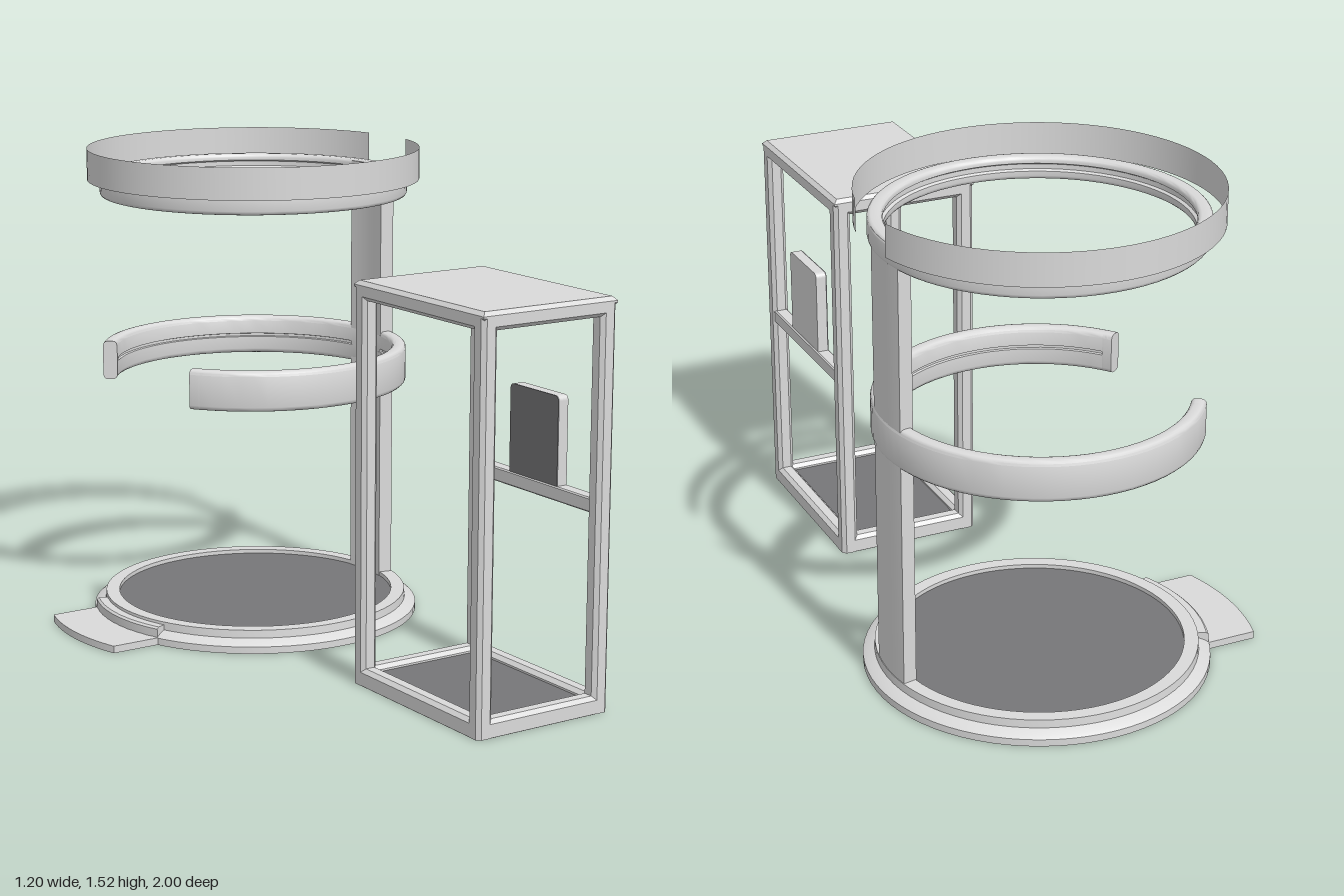
import * as THREE from 'three';
import { toCreasedNormals } from 'three/addons/utils/BufferGeometryUtils.js';

const RIGHT = Math.PI / 2, LEFT = -Math.PI / 2, DEG = Math.PI / 180;

export function createModel() {
  const model = new THREE.Group();
  const light = new THREE.MeshStandardMaterial({ color: 0xdadada });
  light.name = 'lightGrey';
  const dark = new THREE.MeshStandardMaterial({ color: 0x767678 });
  dark.name = 'darkGrey';
  const lightSheet = new THREE.MeshStandardMaterial({ color: 0xdadada, side: THREE.DoubleSide });
  lightSheet.name = 'lightGreySheet';

  const add = (parent, name, geometry, material, x = 0, y = 0, z = 0) => {
    const mesh = new THREE.Mesh(geometry, material);
    mesh.name = name;
    mesh.position.set(x, y, z);
    parent.add(mesh);
    return mesh;
  };

  // Sweeps a counterclockwise (radius, height) profile around the y axis, with end caps on open arcs
  const sweep = (parent, name, profile, centre = 0, half = Math.PI) => {
    const part = new THREE.Group();
    part.name = name;
    parent.add(part);
    const pts = profile.map(([r, y]) => new THREE.Vector2(r, y));
    const steps = Math.max(6, Math.round(half / Math.PI * 72));
    const lathe = new THREE.LatheGeometry([...pts, pts[0].clone()], steps, centre - half, half * 2);
    add(part, name + 'Surface', toCreasedNormals(lathe, 0.6), light);
    if (half < Math.PI) {
      for (const s of [-1, 1]) {
        const cap = new THREE.ShapeGeometry(new THREE.Shape(pts));
        if (s > 0) cap.index.array.reverse();
        cap.computeVertexNormals();
        add(part, name + 'End', cap, light).rotation.y = centre + s * half - Math.PI / 2;
      }
    }
    return part;
  };

  // Rectangle profile with four rounded corners; extra points run down the inner face
  const rim = (r0, r1, y0, y1, c, inner = []) => {
    const corner = (r, y, start) => [0, 1, 2, 3].map((i) => {
      const a = (start + i * 30) * DEG;
      return [r + c * Math.cos(a), y + c * Math.sin(a)];
    });
    return [...corner(r1 - c, y0 + c, -90), ...corner(r1 - c, y1 - c, 0),
      ...corner(r0 + c, y1 - c, 90), ...inner, ...corner(r0 + c, y0 + c, 180)];
  };

  // ---- Round stand ----
  const stand = new THREE.Group();
  stand.name = 'roundStand';
  stand.position.set(0.075, 0, -0.471);
  model.add(stand);

  // Stepped base ring, hollow underneath, holding a thin pad
  sweep(stand, 'baseRing', [[0.492, 0], [0.527, 0], [0.527, 0.022], [0.515, 0.03], [0.492, 0.04],
    [0.49, 0.065], [0.447, 0.065], [0.447, 0.035], [0.485, 0.03]]);
  add(stand, 'basePad', new THREE.CylinderGeometry(0.449, 0.449, 0.012, 72), dark, 0, 0.046, 0);

  // Foot pedal with a curved outer edge, and its bracket on the base
  const pedal = new THREE.Shape();
  const pedalAngle = Math.asin(0.2 / 0.675);
  pedal.moveTo(-0.46, -0.2);
  pedal.lineTo(-0.46, 0.2);
  pedal.absarc(0, 0, 0.675, Math.PI - pedalAngle, Math.PI + pedalAngle, false);
  pedal.closePath();
  const pedalGeo = new THREE.ExtrudeGeometry(pedal, { depth: 0.023, bevelEnabled: false, curveSegments: 10 });
  pedalGeo.rotateX(-Math.PI / 2);
  add(stand, 'footPedal', pedalGeo, light);
  sweep(stand, 'pedalBracket', [[0.47, 0.022], [0.525, 0.022], [0.525, 0.05], [0.518, 0.056], [0.47, 0.056]],
    LEFT, 22 * DEG);

  // Upright following the curve of the rings
  sweep(stand, 'upright', [[0.444, 0.04], [0.488, 0.04], [0.488, 1.435], [0.444, 1.435]], RIGHT, 11.2 * DEG);

  // Open middle hoop: a grooved run between two plain ends
  const hoop = new THREE.Group();
  hoop.name = 'middleHoop';
  stand.add(hoop);
  const groove = [[0.444, 0.829], [0.451, 0.827], [0.451, 0.819], [0.444, 0.817]];
  sweep(hoop, 'groovedHoop', rim(0.444, 0.49, 0.761, 0.887, 0.015, groove), RIGHT, 142 * DEG);
  for (const s of [-1, 1]) {
    sweep(hoop, 'hoopTip', rim(0.444, 0.49, 0.761, 0.887, 0.015), RIGHT + s * 144 * DEG, 2 * DEG);
  }

  // Top ring with a channel inside, and the thin band around it
  sweep(stand, 'topRing', rim(0.445, 0.49, 1.369, 1.44, 0.012,
    [[0.445, 1.42], [0.454, 1.415], [0.454, 1.4], [0.445, 1.395]]));
  const gap = 11.5 * DEG;
  add(stand, 'topBand', new THREE.CylinderGeometry(0.529, 0.529, 0.1, 72, 1, true,
    RIGHT + gap, Math.PI * 2 - 2 * gap), lightSheet, 0, 1.47, 0);

  // ---- Rectangular cabinet frame ----
  const cabinet = new THREE.Group();
  cabinet.name = 'cabinetFrame';
  cabinet.position.set(0.1305, 0, 0.6845);
  model.add(cabinet);
  const W = 0.471, D = 0.631, H = 1.228, T = 0.054, C = 0.012;

  // Square bar lying along the given axis, its upper and lower long edges chamfered by c and b
  const bar = (name, axis, length, x, y, z, size = T, c = C, b = c) => {
    const h = size / 2, k = h - c, m = h - b;
    const section = new THREE.Shape([[m, -h], [h, -m], [h, k], [k, h], [-k, h], [-h, k], [-h, -m], [-m, -h]]
      .map(([p, q]) => new THREE.Vector2(p, q)));
    const geo = new THREE.ExtrudeGeometry(section, { depth: length, bevelEnabled: false });
    geo.translate(0, 0, -length / 2);
    if (axis === 'x') geo.rotateY(Math.PI / 2);
    if (axis === 'y') geo.rotateX(Math.PI / 2);
    add(cabinet, name, geo, light, x, y, z);
  };

  const px = (W - T) / 2, pz = (D - T) / 2, postTop = H - 0.014;
  for (const sx of [-1, 1]) {
    for (const sz of [-1, 1]) bar('cornerPost', 'y', postTop, sx * px, postTop / 2, sz * pz);
    bar('lowerSideRail', 'z', D - T, sx * px, T / 2, 0, T, C, 0.001);
    bar('upperSideRail', 'z', D - T, sx * px, H - 0.029, 0);
  }
  for (const sz of [-1, 1]) {
    bar('lowerCrossRail', 'x', W - T, 0, T / 2, sz * pz, T, C, 0.001);
    bar('upperCrossRail', 'x', W - T, 0, H - 0.029, sz * pz);
  }

  // Lid with chamfered edges
  const lw = W / 2 - C, ld = D / 2 - C;
  const lid = new THREE.Shape([[-lw, -ld], [lw, -ld], [lw, ld], [-lw, ld]]
    .map(([a, b]) => new THREE.Vector2(a, b)));
  const lidGeo = new THREE.ExtrudeGeometry(lid,
    { depth: 0.006, bevelSize: C, bevelThickness: C, bevelSegments: 1 });
  lidGeo.rotateX(-Math.PI / 2);
  add(cabinet, 'lid', lidGeo, light, 0, H - C - 0.006, 0);
  add(cabinet, 'ceilingPanel', new THREE.BoxGeometry(W - T, 0.01, D - T), dark, 0, H - 0.034, 0);
  add(cabinet, 'floorPanel', new THREE.BoxGeometry(W - T, 0.012, D - T), dark, 0, 0.03, 0);

  // Middle rail on one side with an upright control panel and its dark inner face
  bar('middleRail', 'z', D - T, px, 0.617, 0, 0.044, 0.004);
  const panel = new THREE.Shape();
  const r = 0.015, hw = 0.114;
  panel.moveTo(-hw, 0.63);
  panel.lineTo(hw, 0.63);
  panel.lineTo(hw, 0.908 - r);
  panel.absarc(hw - r, 0.908 - r, r, 0, Math.PI / 2, false);
  panel.absarc(-hw + r, 0.908 - r, r, Math.PI / 2, Math.PI, false);
  panel.closePath();
  const plate = (name, depth, material, x) => {
    const geo = new THREE.ExtrudeGeometry(panel, { depth, bevelEnabled: false, curveSegments: 4 });
    geo.rotateY(Math.PI / 2);
    add(cabinet, name, geo, material, x);
  };
  plate('controlPanel', 0.032, light, 0.194);
  plate('controlScreen', 0.004, dark, 0.19);

  return model;
}
